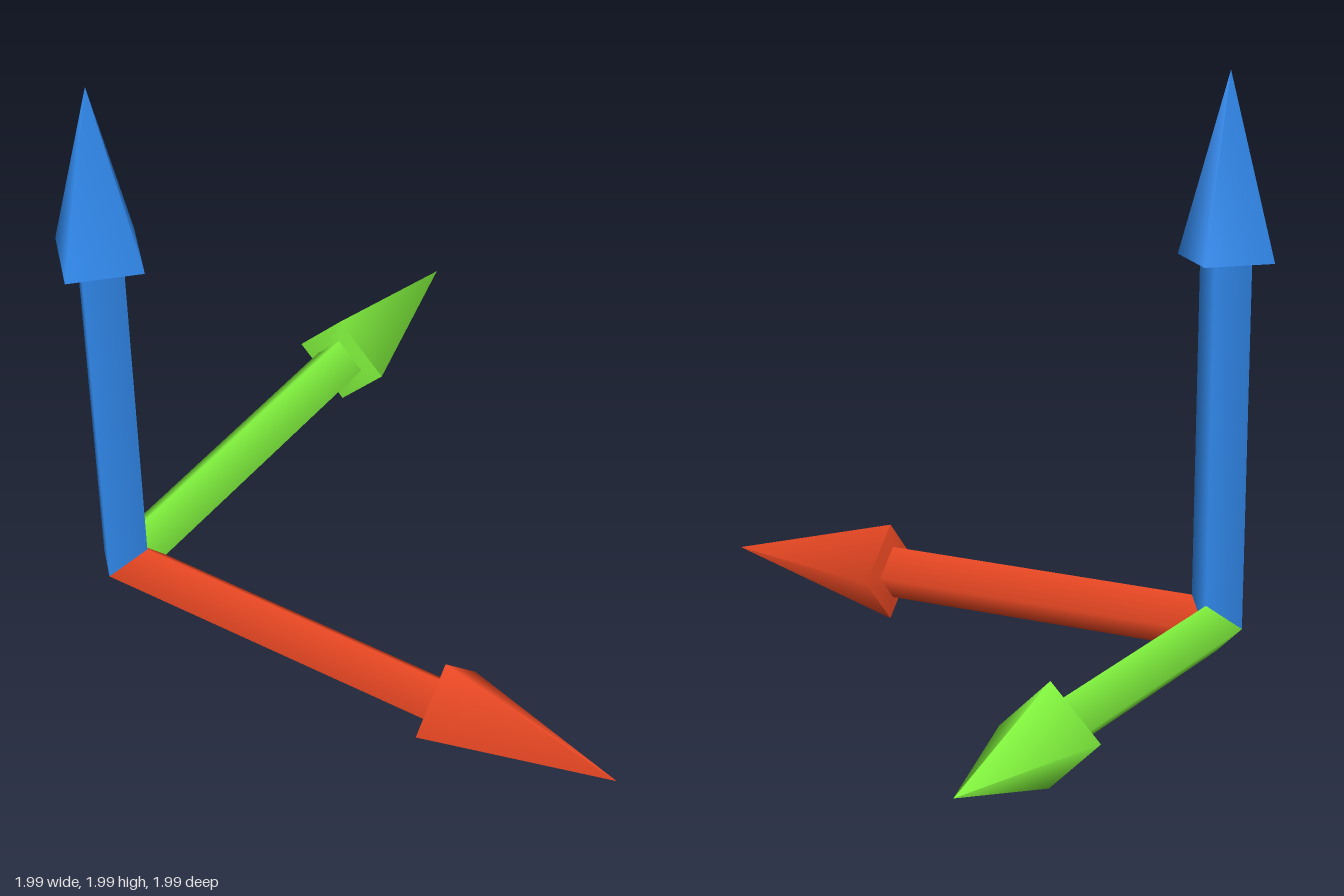
import * as THREE from 'three';

const SHAFT_R = 0.09, HEAD_R = 0.168, LENGTH = 1.825, HEAD_START = 1.22, SIDES = 4;

// One arrow pointing up +y from its own origin: square shaft and pyramid head
function makeArrow(name, color) {
  const arrow = new THREE.Group();
  arrow.name = name;
  const material = new THREE.MeshStandardMaterial({ color });
  const add = (part, geometry, y) => {
    const mesh = new THREE.Mesh(geometry, material);
    mesh.name = part;
    mesh.position.y = y;
    arrow.add(mesh);
  };
  const headLength = LENGTH - HEAD_START;
  add('shaft', new THREE.CylinderGeometry(SHAFT_R, SHAFT_R, HEAD_START, SIDES), HEAD_START / 2);
  add('head', new THREE.ConeGeometry(HEAD_R, headLength, SIDES, 1, true), HEAD_START + headLength / 2);
  // Shallow sloping underside of the head
  add('headBase', new THREE.CylinderGeometry(HEAD_R, SHAFT_R, 0.01, SIDES), HEAD_START - 0.005);
  return arrow;
}

export function createModel() {
  const model = new THREE.Group();
  model.name = 'axisArrows';

  const up = makeArrow('upArrow', 0x338ef5);
  const side = makeArrow('sideArrow', 0xf04a24);
  side.rotation.z = -Math.PI / 2; // towards +x
  const back = makeArrow('backArrow', 0x82f53e);
  back.rotation.x = -Math.PI / 2; // towards -z

  // All three start at one shared corner
  for (const arrow of [up, side, back]) {
    arrow.position.set(-0.831, 0.175, 0.829);
    model.add(arrow);
  }
  return model;
}
